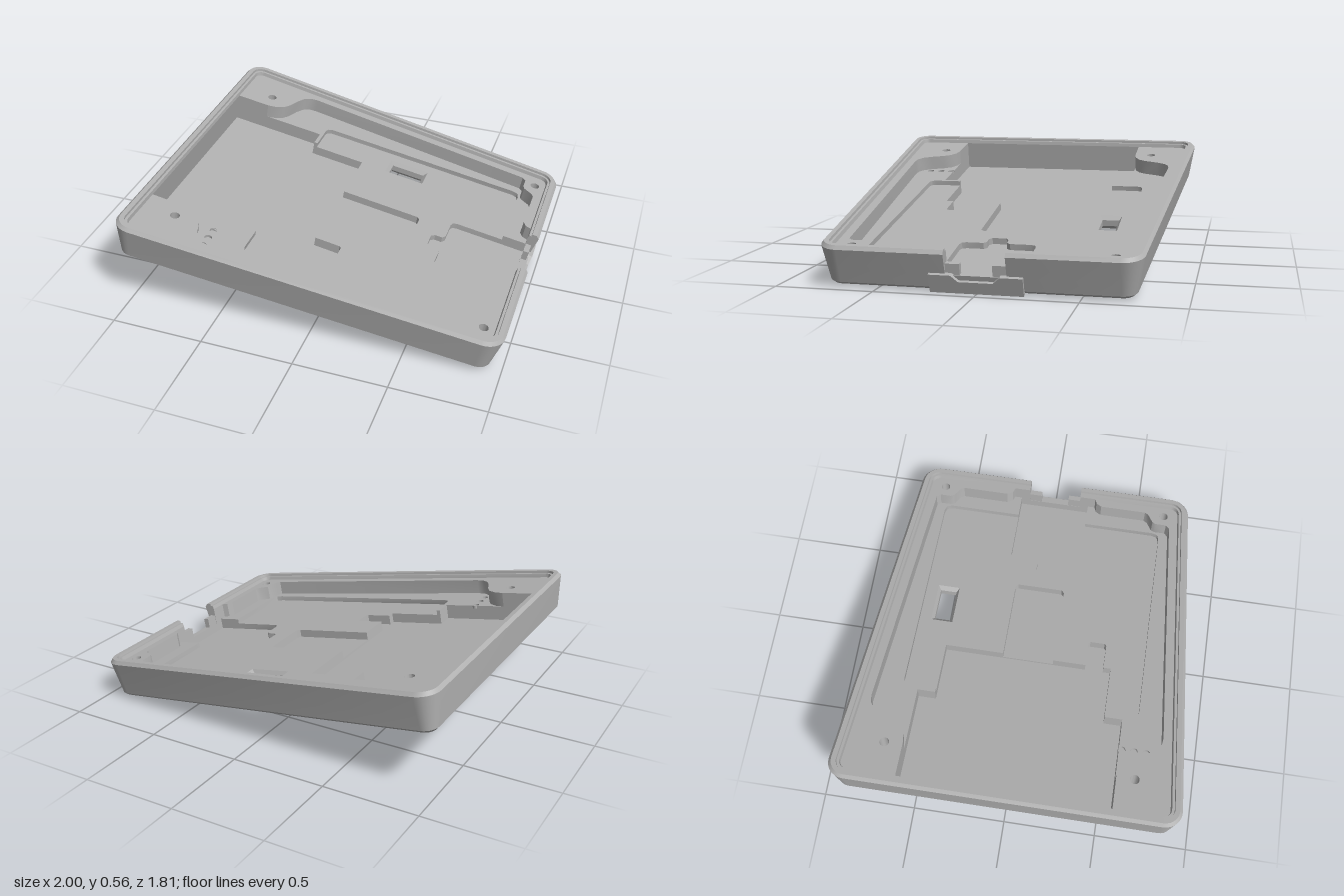
import * as THREE from 'three';
import { toCreasedNormals } from 'three/addons/utils/BufferGeometryUtils.js';

// Tray is modelled flat (points are [x, z], heights are y), then tilted as a whole.
const TILT = THREE.MathUtils.degToRad(10);
const LEFT = -1.05, RIGHT = 0.98, GAP = 0.15;
const DECK = 0.18, MID = 0.1, SHALLOW = 0.073, PORT = 0.04, CELL = 0.03, DEEP = 0.02, SILL = 0.085;
const IN_L = -0.99, IN_R = 0.92;

const mirror = (pts, s) => pts.map(([x, z]) => [x, s * z]);

// Round every corner of a polygon
function rounded(pts, r, n = 7) {
  const P = pts.map(p => new THREE.Vector2(...p));
  return P.flatMap((c, i) => {
    const a = P[(i + P.length - 1) % P.length].clone().sub(c).setLength(r);
    const b = P[(i + 1) % P.length].clone().sub(c).setLength(r);
    const at = (d, k) => c.clone().addScaledVector(d, k);
    return new THREE.CubicBezierCurve(at(a, 1), at(a, 0.45), at(b, 0.45), at(b, 1))
      .getPoints(n).map(p => [p.x, p.y]);
  });
}

// Tapered rounded outline, inset by d, ending with the two points of the cable gap
function outline(d) {
  const half = x => 0.911 - 0.062 * (x - LEFT) - d;
  const a = LEFT + d, b = RIGHT - d;
  const ring = rounded([[b, half(b)], [a, half(a)], [a, -half(a)], [b, -half(b)]], Math.max(0.04, 0.1 - d));
  return [...ring, [b, -GAP], [b, GAP]];
}

function circle(x, z, r, n = 24) {
  return Array.from({ length: n }, (_, i) => {
    const t = i / n * Math.PI * 2;
    return [x + r * Math.cos(t), z + r * Math.sin(t)];
  });
}

const rect = (x0, x1, z0, z1) => [[x0, z0], [x0, z1], [x1, z1], [x1, z0]];

// Surface through rings given as [height, points]
function loft(rings, closed = false, skip = () => false) {
  const n = rings[0][1].length, pos = [], idx = [];
  rings.forEach(([y, pts]) => pts.forEach(([x, z]) => pos.push(x, y, z)));
  for (let r = 0; r < rings.length - 1; r++) {
    for (let i = 0; i < (closed ? n : n - 1); i++) {
      if (skip(r, i)) continue;
      const a = r * n + i, b = r * n + (i + 1) % n;
      idx.push(a, a + n, b, b, a + n, b + n);
    }
  }
  const g = new THREE.BufferGeometry();
  g.setAttribute('position', new THREE.Float32BufferAttribute(pos, 3));
  g.setIndex(idx);
  return toCreasedNormals(g, 0.5);
}

// Flat horizontal face with holes
function face(y, pts, holes = []) {
  const vec = list => list.map(([x, z]) => new THREE.Vector2(x, -z));
  const s = new THREE.Shape(vec(pts));
  s.holes = holes.map(h => new THREE.Path(vec(h)));
  return new THREE.ShapeGeometry(s).rotateX(-Math.PI / 2).translate(0, y, 0);
}

export function createModel() {
  const grey = new THREE.MeshStandardMaterial({ color: 0xb0b0b0, side: THREE.DoubleSide });
  grey.name = 'casing grey';
  const tray = new THREE.Group();
  tray.name = 'tray';
  const add = (name, geo) => {
    const m = new THREE.Mesh(geo, grey);
    m.name = name;
    tray.add(m);
    return m;
  };
  const wall = (name, y0, y1, pts, closed) => add(name, loft([[y0, pts], [y1, pts]], closed));

  // Outer shell: drafted side, bevels and stepped rim, left open at the cable gap
  const profile = [[0, 0.05], [0.015, 0.033], [SILL, 0.02], [0.195, 0], [0.213, 0.015],
    [0.213, 0.04], [0.2, 0.042], [0.2, 0.055], [DECK, 0.06]];
  const rings = profile.map(([y, d]) => [y, outline(d)]);
  const count = rings[0][1].length;
  add('outerShell', loft(rings, true, (r, i) => r >= 2 && i === count - 2));

  // Cable gap: cheeks, sill and shoulders
  const cheek = new THREE.Shape([...profile.slice(2).map(([y, d]) => new THREE.Vector2(RIGHT - d, y)),
    new THREE.Vector2(IN_R, SILL)]);
  for (const s of [1, -1]) {
    add('gapCheek', new THREE.ShapeGeometry(cheek).translate(0, 0, s * GAP));
    add('gapShoulder', new THREE.BoxGeometry(0.03, 0.055, 0.07).translate(0.937, 0.1125, s * 0.115));
  }
  add('gapSill', face(SILL, rect(IN_R, 0.96, -GAP, GAP)));
  wall('gapInnerWall', PORT, SILL, [[IN_R, -GAP], [IN_R, GAP]]);

  // Guard plate outside the gap, with a dip in its upper edge
  const plate = new THREE.Shape([[-0.23, 0], [0.23, 0], [0.23, 0.098], [0.12, 0.098], [0.085, 0.064],
    [-0.085, 0.064], [-0.12, 0.098], [-0.23, 0.098]].map(p => new THREE.Vector2(...p)));
  const guard = add('guardPlate', new THREE.ExtrudeGeometry(plate, { depth: 0.025, bevelEnabled: false })
    .rotateY(Math.PI / 2).rotateZ(-0.18));
  guard.position.set(0.936, -0.002, 0);

  // Underside with screw holes and slot
  const screws = [[-0.813, 0.65], [-0.813, -0.65], [0.862, 0.65], [0.862, -0.65]];
  const slotTop = rect(0.01, 0.24, -0.575, -0.455), slot = rect(0.03, 0.22, -0.56, -0.47);
  add('underside', face(0, outline(0.05), [...screws.map(([x, z]) => circle(x, z, 0.035)), slotTop]));
  add('slotWalls', loft([[0, slotTop], [0.02, slot], [0.053, slot], [SHALLOW, slotTop]], true));
  for (const [x, z] of screws) {
    const wide = circle(x, z, 0.035), narrow = circle(x, z, 0.025);
    add('screwHole', loft([[0, wide], [0.05, wide], [0.05, narrow], [DECK, narrow]], true));
  }

  // Raised decks, the middle step and their walls, front and back
  const deckEdge = [[IN_R, 0.24], [0.89, 0.25], [0.872, 0.28], [0.872, 0.54], [0.86, 0.56], [0.81, 0.59],
    [0.8, 0.61], [0.8, 0.67], [0.78, 0.69], [-0.56, 0.775], [-0.6, 0.77], [-0.635, 0.745], [-0.66, 0.7],
    [-0.685, 0.63], [-0.71, 0.59], [-0.75, 0.565], [-0.8, 0.555]];
  const stepEdge = [[-0.43, 0.46], [-0.43, 0.61], [-0.422, 0.63], [-0.4, 0.64], [0.75, 0.64],
    [0.78, 0.63], [0.79, 0.6], [0.79, 0.2]];
  const dots = [0.57, 0.635, 0.7].map(z => circle(-0.625, z, 0.02, 16));
  for (const s of [1, -1]) {
    const rim = outline(0.06).filter(([, z]) => z * s > 0.56);
    if (s < 0) rim.reverse();
    const deck = [...rim, [IN_L, s * 0.555], ...mirror(deckEdge, s).reverse()];
    add('deck', face(DECK, deck, screws.filter(p => p[1] * s > 0).map(([x, z]) => circle(x, z, 0.025))));
    wall('deckWall', MID, DECK, mirror(deckEdge, s));
    const mid = [[IN_R, 0.2], ...deckEdge, [-0.45, 0.555], [-0.45, 0.46], ...stepEdge];
    add('middleStep', face(MID, mirror(mid, s), s > 0 ? dots : []));
    wall('stepWall', SHALLOW, MID, mirror(stepEdge, s));
    wall('bayCornerWall', DEEP, MID, mirror([[-0.8, 0.555], [-0.45, 0.555], [-0.45, 0.46], [-0.43, 0.46]], s));
    wall('baySideWall', DEEP, DECK, mirror([[IN_L, 0.555], [-0.8, 0.555]], s));
    wall('portCornerWall', PORT, MID, mirror([[0.79, 0.2], [IN_R, 0.2]], s));
    wall('rightInnerWall', PORT, DECK, mirror([[IN_R, GAP], [IN_R, 0.24]], s));
  }
  for (const d of dots) {
    wall('dimpleWall', 0.085, MID, d, true);
    add('dimpleFloor', face(0.085, d));
  }

  // Shallow floor with cut-outs for the bay, the cell pocket and the port pocket
  const notch = [[-0.14, 0.42], [0, 0.42], [0.01, 0.41], [0.01, 0.33], [0, 0.32], [-0.14, 0.32]];
  const cell = [[-0.14, 0.14], [0.305, 0.14], [0.32, 0.125], [0.32, -0.125], [0.305, -0.14], [-0.14, -0.14]];
  const bayRight = [[-0.43, 0.46], [-0.14, 0.46], ...notch];
  const port = [[0.79, -0.2], [0.525, -0.2], [0.503, -0.192], [0.495, -0.17], [0.495, -0.06], [0.48, -0.04],
    [0.44, -0.04], [0.42, -0.025], [0.42, 0.05], [0.44, 0.065], [0.48, 0.065], [0.495, 0.08],
    [0.495, 0.17], [0.503, 0.192], [0.525, 0.2], [0.79, 0.2]];
  const backEdge = [[-0.14, -0.46], [-0.43, -0.46]];
  add('shallowFloor', face(SHALLOW, [...mirror(stepEdge, 1).reverse(), ...bayRight, ...cell, ...backEdge,
    ...mirror(stepEdge, -1), ...port], [slotTop]));
  wall('bayFrontWall', DEEP, SHALLOW, [...bayRight, cell[0]]);
  wall('bayBackWall', DEEP, SHALLOW, [cell[5], ...backEdge]);
  wall('cellWall', CELL, SHALLOW, cell);
  wall('cellStep', DEEP, CELL, [cell[0], cell[5]]);
  wall('portWall', PORT, SHALLOW, port);

  // Pocket floors and the left end wall
  add('cellFloor', face(CELL, cell));
  add('portFloor', face(PORT, [[IN_R, -0.2], ...port, [IN_R, 0.2]]));
  add('bayFloor', face(DEEP, [[IN_L, 0.555], [-0.45, 0.555], [-0.45, 0.46], ...bayRight, ...backEdge,
    [-0.45, -0.46], [-0.45, -0.555], [IN_L, -0.555]]));
  wall('leftInnerWall', DEEP, DECK, [[IN_L, -0.555], [IN_L, 0.555]]);

  tray.rotation.z = -TILT;
  tray.position.y = 0.172;
  const model = new THREE.Group();
  model.name = 'tiltedCaseBase';
  model.add(tray);
  return model;
}
